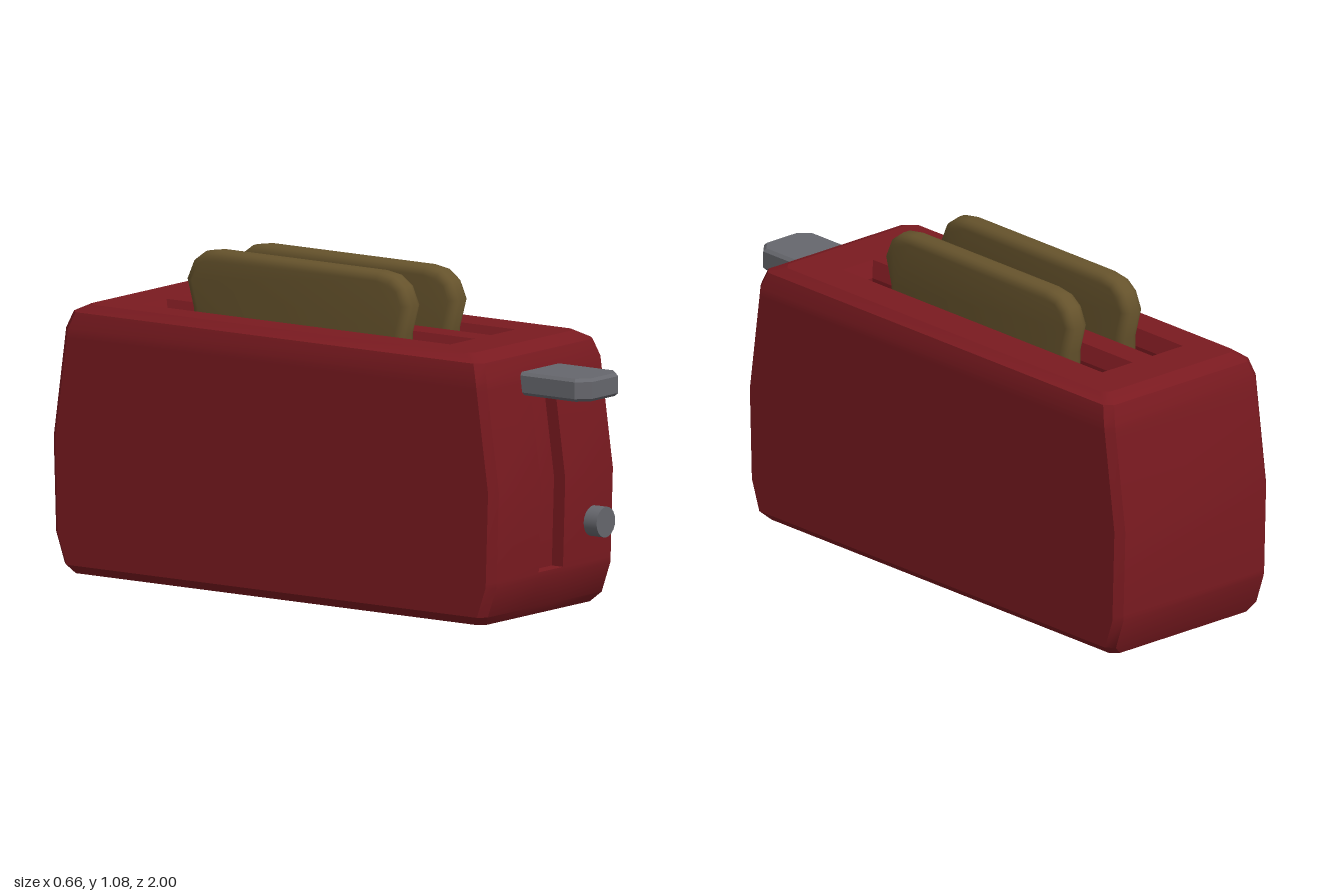
import * as THREE from 'three';
import { toCreasedNormals } from 'three/addons/utils/BufferGeometryUtils.js';

const red = new THREE.MeshStandardMaterial({ color: 0x7a1a20 });
const brown = new THREE.MeshStandardMaterial({ color: 0x66532c });
const grey = new THREE.MeshStandardMaterial({ color: 0x66676d });

function add(parent, name, geometry, material) {
  const mesh = new THREE.Mesh(geometry, material);
  mesh.name = name;
  parent.add(mesh);
  return mesh;
}

// Skin between stacked rings of Vector3, skipping collapsed triangles
function loft(rings, crease) {
  const positions = [];
  const tri = (a, b, c) => {
    const area = b.clone().sub(a).cross(c.clone().sub(a)).length();
    if (area > 1e-7) for (const p of [a, b, c]) positions.push(p.x, p.y, p.z);
  };
  for (let j = 0; j < rings.length - 1; j++) {
    const a = rings[j], b = rings[j + 1];
    for (let i = 0; i < a.length; i++) {
      const k = (i + 1) % a.length;
      tri(a[i], a[k], b[k]);
      tri(a[i], b[k], b[i]);
    }
  }
  const geometry = new THREE.BufferGeometry();
  geometry.setAttribute('position', new THREE.Float32BufferAttribute(positions, 3));
  return toCreasedNormals(geometry, crease);
}

// Horizontal ring of the shell with cut corners and a front groove of depth d
function shellRing([y, w, front, back, d = 0]) {
  const c = 0.025, gl = -0.08, gr = 0.05;
  return [
    [-w + c, front], [gl, front], [gl, front - d], [gr, front - d], [gr, front], [w - c, front],
    [w, front - c], [w, back + c], [w - c, back], [-w + c, back], [-w, back + c], [-w, front - c],
  ].map(([x, z]) => new THREE.Vector3(x, y, z));
}

// Rectangular ring of a bread slot
function slotRing(x, y, half, back, front) {
  return [[-half, front], [half, front], [half, back], [-half, back]]
    .map(([dx, z]) => new THREE.Vector3(x + dx, y, z));
}

// Flat cap over a ring, facing up (sign -1) or down (sign 1)
function cap(ring, sign, holes = []) {
  const flat = (r) => r.map((p) => new THREE.Vector2(p.x, sign * p.z));
  const shape = new THREE.Shape(flat(ring.filter((p, i) => i < 1 || i > 4)));
  shape.holes = holes.map((h) => new THREE.Path(flat(h)));
  return new THREE.ShapeGeometry(shape).rotateX(sign * Math.PI / 2).translate(0, ring[0].y, 0);
}

function createBody() {
  const body = new THREE.Group();
  body.name = 'body';

  // Levels: height, half width, front, back, groove depth
  const rings = [
    [0, 0.30, 0.72, -0.94],
    [0.03, 0.33, 0.745, -0.955],
    [0.13, 0.33, 0.78, -0.99],
    [0.15, 0.33, 0.781, -0.991],
    [0.15, 0.33, 0.781, -0.991, 0.045],
    [0.44, 0.33, 0.79, -1.0, 0.045],
    [0.77, 0.33, 0.744, -0.954, 0.045],
    [0.77, 0.33, 0.744, -0.954],
    [0.80, 0.33, 0.74, -0.95],
    [0.855, 0.315, 0.72, -0.93],
    [0.88, 0.285, 0.66, -0.88],
  ].map(shellRing);
  add(body, 'shell', loft(rings, 0.6), red);
  add(body, 'base', cap(rings[0], 1), red);

  // Bread slots that funnel in below the top
  const openings = [];
  for (const x of [-0.12, 0.098]) {
    const top = slotRing(x, 0.88, 0.066, -0.735, 0.505);
    openings.push(top);
    const levels = [
      top,
      slotRing(x, 0.83, 0.042, -0.71, 0.48),
      slotRing(x, 0.40, 0.042, -0.71, 0.48),
      slotRing(x, 0.40, 0, -0.71, 0.48),
    ];
    add(body, 'slot', loft(levels, 0.3), red);
  }
  add(body, 'top', cap(rings.at(-1), -1, openings), red);
  return body;
}

// Slice of bread with rounded rim
function toastGeometry() {
  const half = [[0.39, 0.45], [0.395, 0.88], [0.42, 0.97], [0.40, 1.015], [0.37, 1.037], [0.32, 1.045]];
  const outline = [...half, ...half.map(([u, y]) => [-u, y]).reverse()];
  const shape = new THREE.Shape(outline.map(([u, y]) => new THREE.Vector2(u, y)));
  const geometry = new THREE.ExtrudeGeometry(shape, {
    depth: 0.02, bevelThickness: 0.03, bevelSize: 0.03, bevelSegments: 4,
  });
  return toCreasedNormals(geometry.translate(0, 0, -0.01).rotateY(-Math.PI / 2), 0.9);
}

// Lever plate with cut front corners
function leverGeometry() {
  const w = 0.1, c = 0.035;
  const shape = new THREE.Shape([
    [-w, -0.69], [-w, -0.99 + c], [-w + c, -0.99], [w - c, -0.99], [w, -0.99 + c], [w, -0.69],
  ].map(([x, y]) => new THREE.Vector2(x, y)));
  return new THREE.ExtrudeGeometry(shape, {
    depth: 0.055, bevelThickness: 0.01, bevelSize: 0.01, bevelSegments: 1,
  }).rotateX(-Math.PI / 2);
}

export function createModel() {
  const model = new THREE.Group();
  model.name = 'toaster';
  model.add(createBody());

  const toast = toastGeometry();
  add(model, 'rightToast', toast, brown).position.set(-0.113, 0.003, -0.14);
  add(model, 'leftToast', toast, brown).position.set(0.1, -0.004, -0.11);

  add(model, 'lever', leverGeometry(), grey).position.set(-0.015, 0.74, 0);

  // Browning knob
  const knob = new THREE.CylinderGeometry(0.05, 0.05, 0.08, 20).rotateX(Math.PI / 2);
  add(model, 'knob', knob, grey).position.set(0.205, 0.28, 0.797);
  return model;
}
